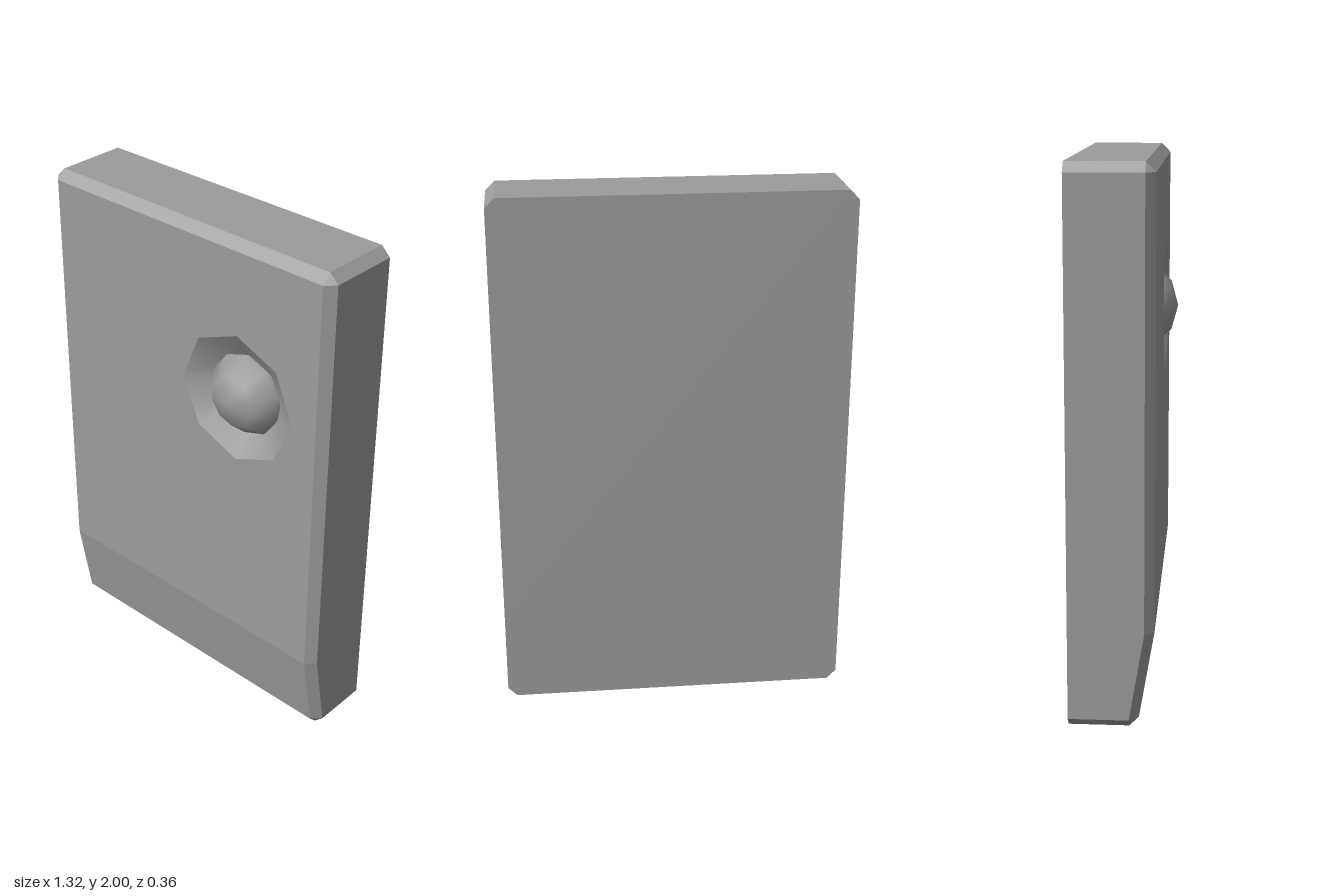
import * as THREE from 'three';

const W = 0.658, H = 2, C = 0.035;       // half width, height, chamfer
const BACK = -0.178, FRONT = 0.13;
const BEND = 0.36;                       // below this height the front slopes back
const EYE = { x: 0.26, y: 1.39 };        // centre of the dish

const grey = (options = {}) => new THREE.MeshStandardMaterial({ color: 0x9c9c9c, ...options });

// Depth of the front surface at a given height
const frontZ = (y) => (y >= BEND ? FRONT : FRONT - ((BEND - y) / (BEND - C)) * 0.055);

// Outline with cut corners, counter-clockwise from the front
function outline() {
  const right = [[W - C, 0], [W, C], [W, BEND], [W, H - C], [W - C, H]];
  const left = right.map(([x, y]) => [-x, y]).reverse();
  return [...right, ...left].map(([x, y]) => new THREE.Vector2(x, y));
}

// Side walls and front chamfer, joined from three loops
function wallGeometry() {
  const pts = outline();
  const inner = pts.map((p) => new THREE.Vector2(
    THREE.MathUtils.clamp(p.x, C - W, W - C),
    THREE.MathUtils.clamp(p.y, C, H - C)
  ));
  const loops = [
    pts.map((p) => [p.x, p.y, BACK]),
    pts.map((p, i) => [p.x, p.y, frontZ(inner[i].y) - C]),
    inner.map((p) => [p.x, p.y, frontZ(p.y)]),
  ];
  const pos = [];
  for (let k = 0; k < 2; k++) {
    for (let i = 0; i < pts.length; i++) {
      const j = (i + 1) % pts.length;
      const a = loops[k][i], b = loops[k][j], c = loops[k + 1][j], d = loops[k + 1][i];
      pos.push(...a, ...b, ...c, ...a, ...c, ...d);
    }
  }
  const geo = new THREE.BufferGeometry();
  geo.setAttribute('position', new THREE.Float32BufferAttribute(pos, 3));
  geo.computeVertexNormals();
  return geo;
}

// Flat rectangle between two heights, laid onto the front surface
function panelGeometry(y0, y1, hole) {
  const x = W - C;
  const shape = new THREE.Shape([[-x, y0], [x, y0], [x, y1], [-x, y1]].map((p) => new THREE.Vector2(...p)));
  if (hole) shape.holes.push(hole);
  const geo = new THREE.ShapeGeometry(shape);
  const pos = geo.attributes.position;
  for (let i = 0; i < pos.count; i++) pos.setZ(i, frontZ(pos.getY(i)));
  geo.computeVertexNormals();
  return geo;
}

export function createModel() {
  const model = new THREE.Group();
  const add = (name, geometry, material = grey({ flatShading: true })) => {
    const mesh = new THREE.Mesh(geometry, material);
    mesh.name = name;
    model.add(mesh);
    return mesh;
  };

  // Slab
  add('bodySides', wallGeometry());
  const back = new THREE.ShapeGeometry(new THREE.Shape(outline()));
  back.rotateY(Math.PI);
  add('backPanel', back).position.z = BACK;

  // Front with an eight-sided opening, and the sloped lower part
  const rim = 0.255;
  const hole = new THREE.Path(Array.from({ length: 8 }, (_, i) => {
    const a = (-i * Math.PI) / 4;
    return new THREE.Vector2(EYE.x + rim * Math.cos(a), EYE.y + rim * Math.sin(a));
  }));
  add('frontPanel', panelGeometry(BEND, H - C, hole));
  add('lowerSlope', panelGeometry(C, BEND));

  // Sunken dish
  const dish = new THREE.LatheGeometry(
    [new THREE.Vector2(rim, FRONT), new THREE.Vector2(0.13, 0.05)], 8
  );
  dish.rotateX(Math.PI / 2);
  add('dish', dish, grey({ side: THREE.DoubleSide })).position.set(EYE.x, EYE.y, 0);

  // Slightly flattened round button sitting in the dish
  const r = 0.165, depth = 0.138;
  const button = new THREE.SphereGeometry(r, 10, 5);
  button.rotateX(Math.PI / 2);
  button.rotateZ(Math.PI / 2);
  button.scale(1, 1, depth / r);
  add('button', button, grey()).position.set(EYE.x, EYE.y - 0.004, 0.178 - depth);

  return model;
}
